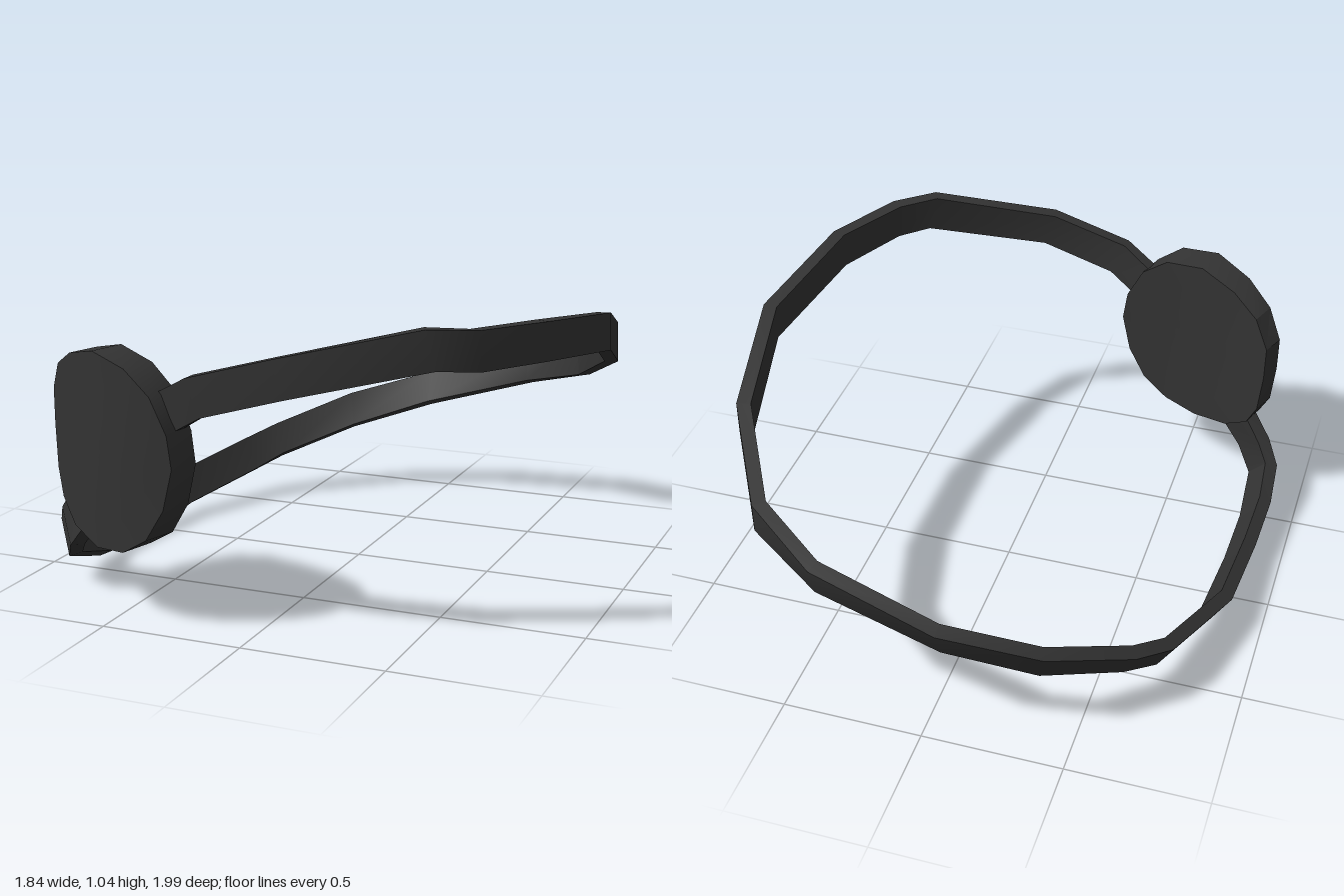
import * as THREE from 'three';
import { toCreasedNormals } from 'three/addons/utils/BufferGeometryUtils.js';

// Skin a list of equal-length rings of Vector3 and close both ends.
// Rings run counter-clockwise as seen from the first end.
function loft(rings, crease) {
  const n = rings[0].length, last = (rings.length - 1) * n, index = [];
  for (let i = 0; i < rings.length - 1; i++) {
    for (let j = 0; j < n; j++) {
      const a = i * n + j, b = i * n + (j + 1) % n;
      index.push(a, a + n, b + n, a, b + n, b);
    }
  }
  for (let j = 1; j < n - 1; j++) {
    index.push(0, j, j + 1, last, last + j + 1, last + j);
  }
  const g = new THREE.BufferGeometry().setFromPoints(rings.flat());
  g.setIndex(index);
  return toCreasedNormals(g, crease);
}

// Strap stations: outer top corner, then outer bottom corner
const stations = [
  [-0.34, 0.78, 0.92, -0.29, 0.65, 0.93],
  [-0.19, 0.86, 0.975, -0.14, 0.735, 0.975],
  [0.11, 0.945, 0.98, 0.15, 0.82, 0.98],
  [0.55, 1.04, 0.81, 0.58, 0.91, 0.80],
  [0.69, 1.03, 0.71, 0.70, 0.90, 0.71],
  [0.83, 1.02, 0.44, 0.83, 0.89, 0.44],
  [0.91, 0.97, -0.04, 0.915, 0.84, -0.04],
  [0.83, 0.85, -0.48, 0.84, 0.71, -0.46],
  [0.64, 0.70, -0.81, 0.65, 0.575, -0.79],
  [0.38, 0.61, -0.97, 0.38, 0.49, -0.93],
  [-0.06, 0.47, -1.0, -0.06, 0.355, -0.945],
  [-0.40, 0.37, -0.90, -0.37, 0.25, -0.85],
  [-0.66, 0.26, -0.69, -0.61, 0.15, -0.65],
  [-0.76, 0.215, -0.56, -0.70, 0.10, -0.53],
  [-0.89, 0.15, -0.18, -0.82, 0.04, -0.18],
  [-0.91, 0.12, 0.18, -0.84, 0.0, 0.18],
  [-0.92, 0.14, 0.42, -0.85, 0.02, 0.43],
  [-0.91, 0.20, 0.58, -0.84, 0.09, 0.65],
  [-0.86, 0.27, 0.65, -0.77, 0.17, 0.75],
  [-0.74, 0.42, 0.72, -0.66, 0.30, 0.78],
];

function strapGeometry() {
  const top = stations.map(s => new THREE.Vector3(s[0], s[1], s[2]));
  const bottom = stations.map(s => new THREE.Vector3(s[3], s[4], s[5]));
  const end = stations.length - 1;
  const rings = stations.map((_, i) => {
    const tangent = top[Math.min(i + 1, end)].clone().sub(top[Math.max(i - 1, 0)]);
    const inward = top[i].clone().sub(bottom[i]).cross(tangent).setLength(0.05);
    return [top[i], top[i].clone().add(inward), bottom[i].clone().add(inward), bottom[i]];
  });
  return loft(rings, 0.5);
}

// Patch outline on its front face, counter-clockwise
const outline = [
  [-0.235, 0.56], [-0.27, 0.42], [-0.34, 0.31], [-0.44, 0.25], [-0.57, 0.235],
  [-0.71, 0.27], [-0.80, 0.34], [-0.84, 0.43], [-0.855, 0.58], [-0.855, 0.71],
  [-0.80, 0.81], [-0.70, 0.87], [-0.56, 0.905], [-0.41, 0.87], [-0.31, 0.79], [-0.25, 0.67],
].reverse();

// Rounded pad, bowed around the face
function patchGeometry() {
  const frontZ = x => 0.99 - 0.85 * (x + 0.25) ** 2;
  const backZ = x => 0.79 + 0.467 * (x + 0.5) - 0.444 * (x + 0.5) ** 2;
  const ring = (scale, shift, depth) => outline.map(([px, py]) => {
    const x = -0.545 + (px + 0.545) * scale + shift;
    return new THREE.Vector3(x, 0.57 + (py - 0.57) * scale, depth(x));
  });
  const scales = [0.05, 0.35, 0.7, 1];
  const rings = [
    ...scales.map(s => ring(s, 0, frontZ)),
    ...scales.slice().reverse().map(s => ring(s, 0.035, backZ)),
  ];
  return loft(rings, 0.5);
}

export function createModel() {
  const group = new THREE.Group();
  group.name = 'eyePatch';
  const black = new THREE.MeshStandardMaterial({ color: 0x333333 });
  black.name = 'charcoal';
  const add = (name, geometry) => {
    const mesh = new THREE.Mesh(geometry, black);
    mesh.name = name;
    group.add(mesh);
  };
  add('strap', strapGeometry());
  add('patch', patchGeometry());
  return group;
}
